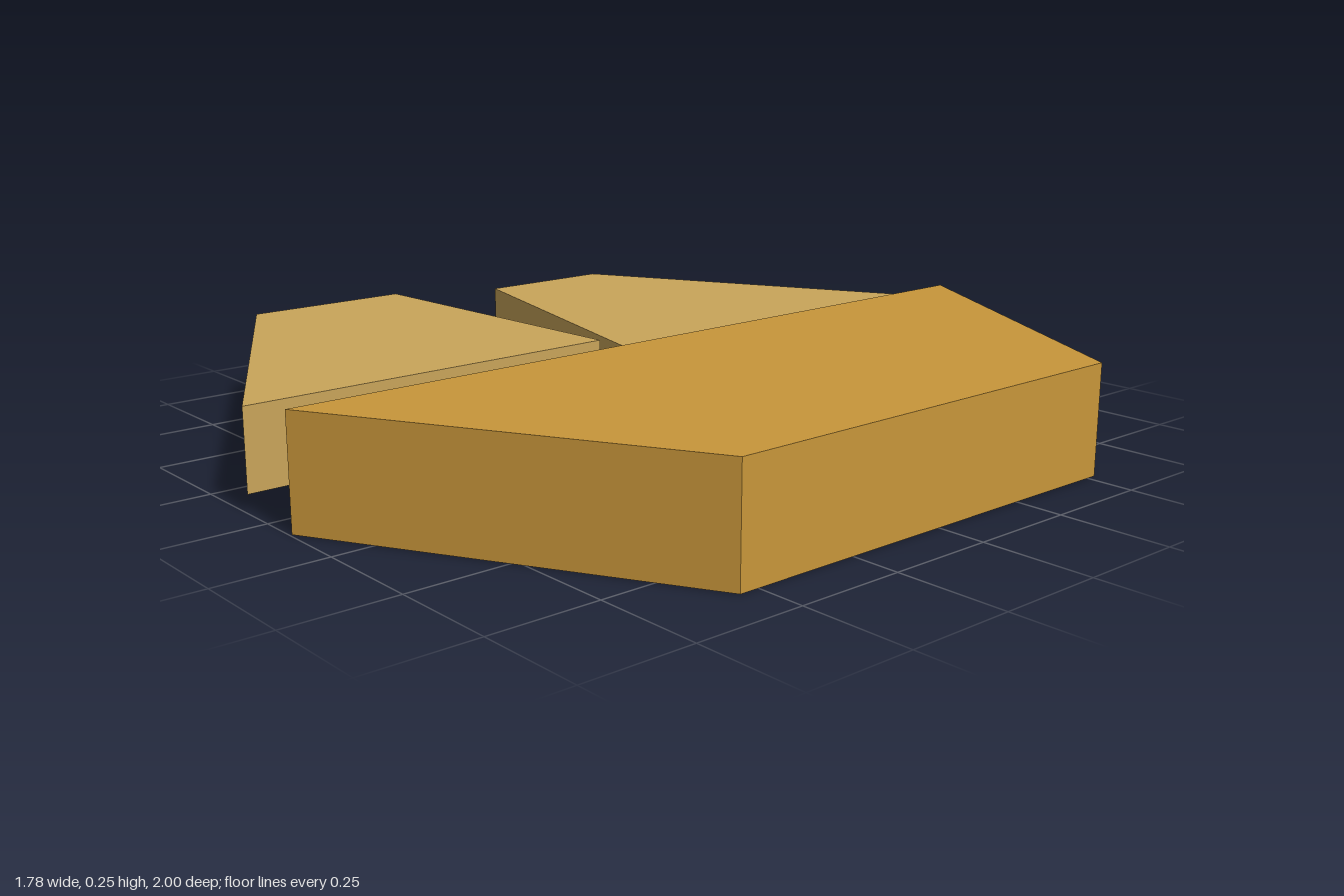
import * as THREE from 'three';

// Open-bottomed shell: flat top plus one wall per outline edge.
// The outline is [x, z] points, counter-clockwise as seen from above.
function shellGeometry(outline, bottom, top) {
  const positions = [];
  const corner = ([x, z], y) => [x, y, z];
  const quad = (a, b, c, d) => positions.push(...a, ...b, ...c, ...a, ...c, ...d);

  quad(...outline.map((p) => corner(p, top)));
  outline.forEach((a, i) => {
    const b = outline[(i + 1) % outline.length];
    quad(corner(a, bottom), corner(b, bottom), corner(b, top), corner(a, top));
  });

  const geometry = new THREE.BufferGeometry();
  geometry.setAttribute('position', new THREE.Float32BufferAttribute(positions, 3));
  geometry.computeVertexNormals();
  return geometry;
}

function material(name, color) {
  const m = new THREE.MeshStandardMaterial({ color, side: THREE.DoubleSide });
  m.name = name;
  return m;
}

export function createModel() {
  const group = new THREE.Group();
  group.name = 'splitHexagon';
  const amber = material('amber', 0xc8963a);
  const sand = material('sand', 0xc9a55a);

  const addShell = (name, mat, outline, bottom, top) => {
    const mesh = new THREE.Mesh(shellGeometry(outline, bottom, top), mat);
    mesh.name = name;
    group.add(mesh);
  };

  // Large half
  addShell('largeHalf', amber,
    [[0.89, -0.525], [0.09, -0.955], [0.09, 0.995], [0.89, 0.545]], 0, 0.255);
  // Rear quarter, slightly lower
  addShell('rearQuarter', sand,
    [[-0.09, -1], [-0.89, -0.55], [-0.89, -0.195], [-0.09, -0.005]], 0.01, 0.197);
  // Front quarter, slightly raised
  addShell('frontQuarter', sand,
    [[-0.09, 0.07], [-0.89, 0.135], [-0.89, 0.545], [-0.09, 0.995]]
      .map(([x, z], i) => (i === 1 ? [x, 0.132] : [x, z])).map((p, i) => (i === 0 ? [p[0], 0.07] : p)),
    0.038, 0.224);

  return group;
}
